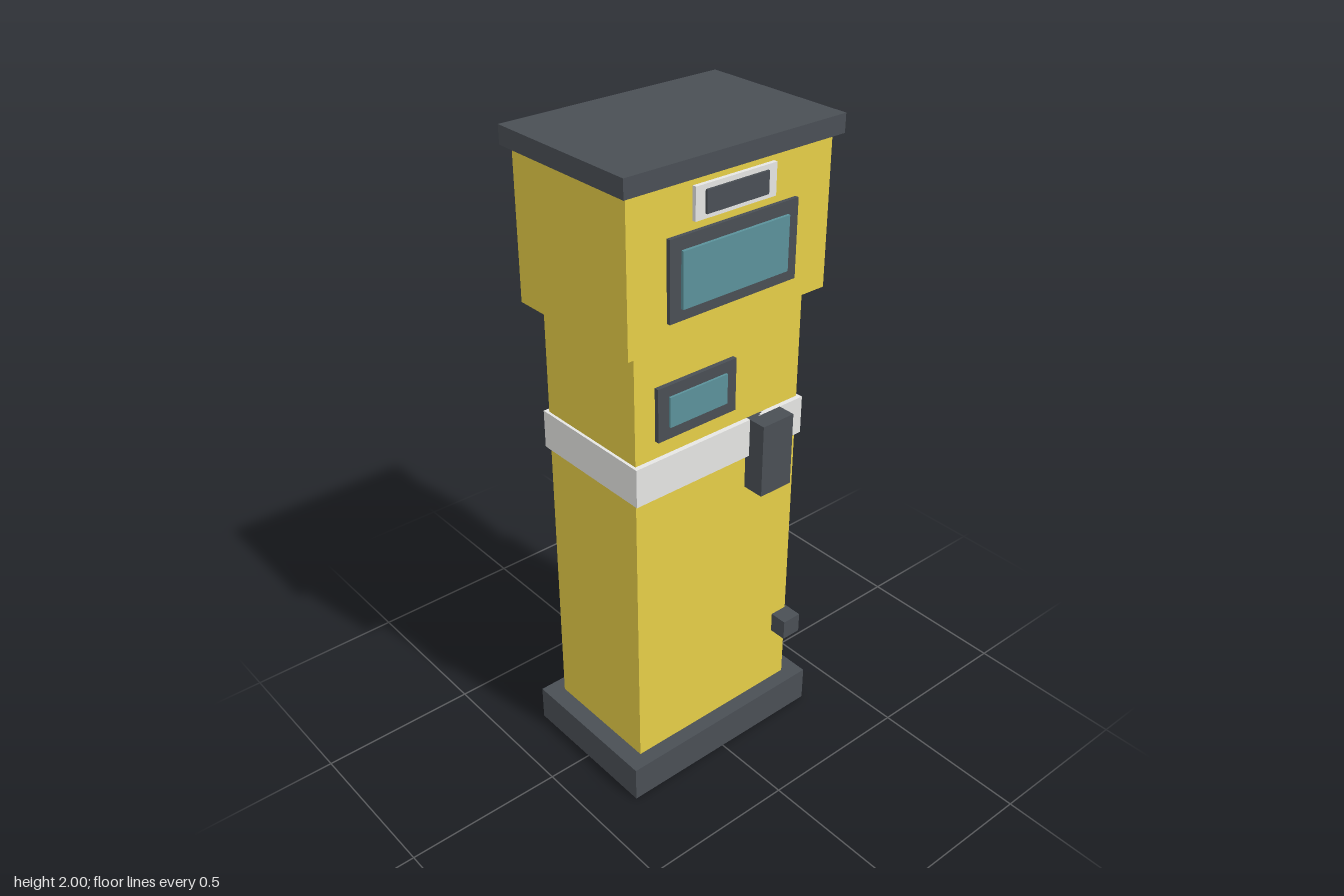
import * as THREE from 'three';

const paint = (name, color) => {
  const m = new THREE.MeshStandardMaterial({ color });
  m.name = name;
  return m;
};

export function createModel() {
  const yellow = paint('yellow', 0xe6ce48);
  const dark = paint('charcoal', 0x4a4f55);
  const pale = paint('pale grey', 0xe6e6e4);
  const glass = paint('glass teal', 0x5b929b);

  const model = new THREE.Group();
  model.name = 'pumpColumn';

  // Box given by its low and high limits on each axis
  const box = (parent, name, material, [x0, x1], [y0, y1], [z0, z1]) => {
    const mesh = new THREE.Mesh(new THREE.BoxGeometry(x1 - x0, y1 - y0, z1 - z0), material);
    mesh.position.set((x0 + x1) / 2, (y0 + y1) / 2, (z0 + z1) / 2);
    mesh.name = name;
    parent.add(mesh);
  };
  const core = (name, material, halfX, y, halfZ) =>
    box(model, name, material, [-halfX, halfX], y, [-halfZ, halfZ]);

  // Stacked housing
  core('base', dark, 0.357, [0, 0.116], 0.242);
  core('body', yellow, 0.301, [0.116, 1.506], 0.195);
  core('band', pale, 0.31, [1.04, 1.16], 0.21);
  core('head', yellow, 0.347, [1.506, 1.946], 0.231);
  core('cap', dark, 0.369, [1.946, 2], 0.254);

  // Fittings repeated on the front and back faces
  for (const side of [1, -1]) {
    const face = new THREE.Group();
    face.name = side > 0 ? 'frontFittings' : 'backFittings';
    model.add(face);
    const part = (name, material, x, y, z) =>
      box(face, name, material, x, y, side > 0 ? z : [-z[1], -z[0]]);

    // Sign panel on the head
    part('signPlate', pale, [-0.137, 0.137], [1.829, 1.92], [0.231, 0.243]);
    part('signInset', dark, [-0.105, 0.105], [1.843, 1.906], [0.24, 0.25]);

    // Main display
    part('displayFrame', dark, [-0.22, 0.22], [1.574, 1.804], [0.231, 0.243]);
    part('displayGlass', glass, [-0.183, 0.183], [1.608, 1.767], [0.24, 0.252]);

    // Small display
    part('smallFrame', dark, [-0.232, 0.046], [1.214, 1.377], [0.195, 0.209]);
    part('smallGlass', glass, [-0.195, 0.009], [1.251, 1.343], [0.206, 0.216]);

    // Nozzle holster and hose fitting
    part('holster', dark, [0.104, 0.22], [0.927, 1.16], [0.195, 0.266]);
    part('hoseFitting', dark, [0.244, 0.31], [0.315, 0.381], [0.186, 0.252]);
  }
  return model;
}
